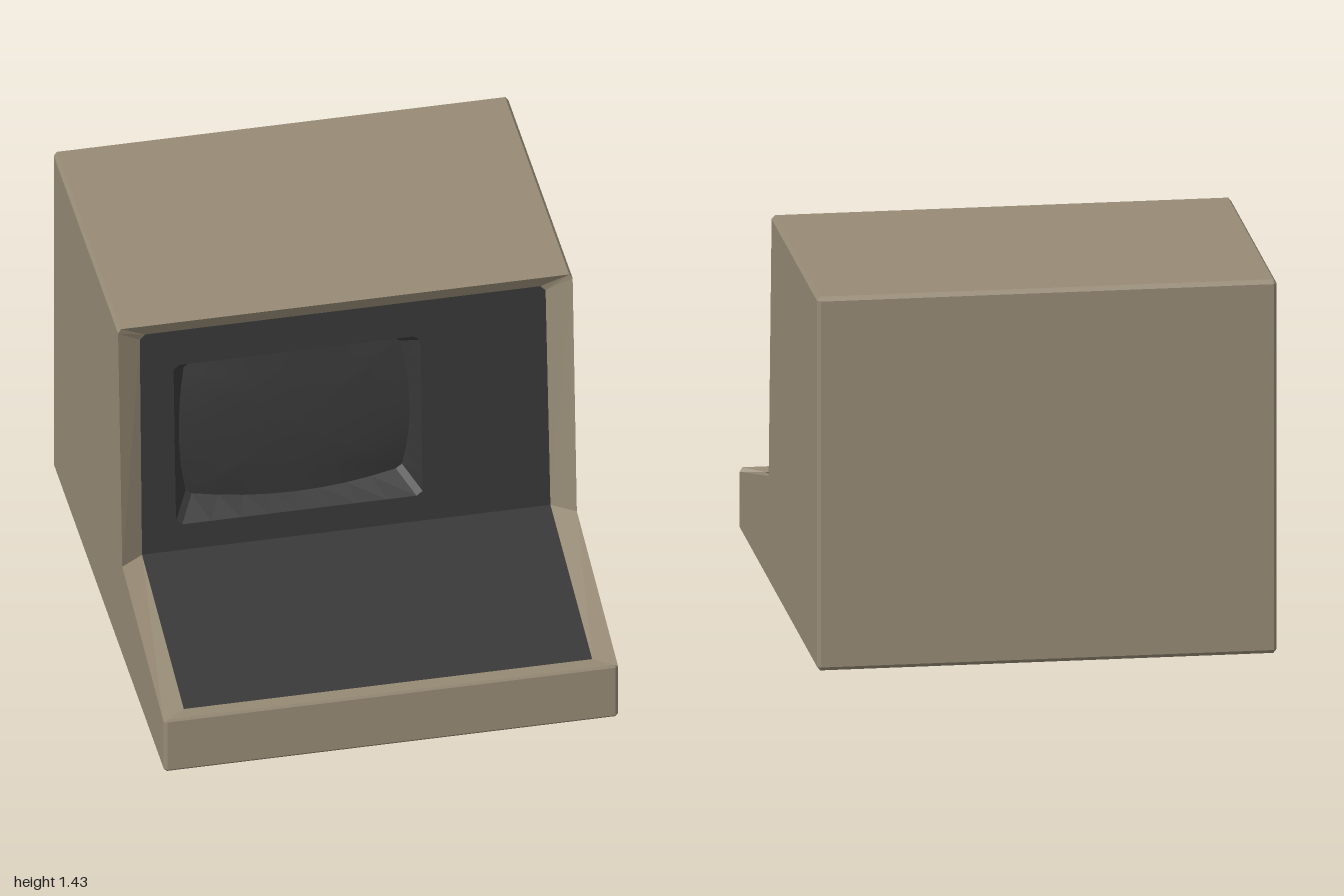
import * as THREE from 'three';
import { mergeVertices } from 'three/addons/utils/BufferGeometryUtils.js';

const beige = new THREE.MeshStandardMaterial({ color: 0x978b76, side: THREE.DoubleSide });
beige.name = 'beige casing';
const charcoal = new THREE.MeshStandardMaterial({ color: 0x373737, side: THREE.DoubleSide });
charcoal.name = 'charcoal panel';

// Skin successive cross-sections (equal-length lists of [x, y, z]) with triangles
function skin(sections, smooth = false) {
  const pos = [];
  for (let s = 0; s < sections.length - 1; s++) {
    const a = sections[s], b = sections[s + 1];
    for (let i = 0; i < a.length - 1; i++) {
      pos.push(...a[i], ...b[i], ...b[i + 1], ...a[i], ...b[i + 1], ...a[i + 1]);
    }
  }
  let g = new THREE.BufferGeometry();
  g.setAttribute('position', new THREE.Float32BufferAttribute(pos, 3));
  if (smooth) g = mergeVertices(g, 1e-4);
  g.computeVertexNormals();
  return g;
}

const at = (x, profile) => profile.map(([z, y]) => [x, y, z]);
const mirror = (pts) => pts.map(([x, y, z]) => [-x, y, z]);
const close = (pts) => [...pts, pts[0]];

export function createModel() {
  const group = new THREE.Group();
  const add = (name, geometry, material) => {
    const mesh = new THREE.Mesh(geometry, material);
    mesh.name = name;
    group.add(mesh);
  };

  // Side profiles as [z, y]: full outline, and the slightly inset outline of the cheeks
  const full = [[0.995, 0.24], [1, 0.23], [1, 0.015], [0.985, 0], [-0.985, 0],
    [-1, 0.015], [-1, 1.415], [-0.985, 1.43], [0.165, 1.43]];
  const inset = [[0.988, 0.225], [0.988, 0.225], [0.988, 0.015], [0.988, 0.015], [-0.985, 0.015],
    [-0.985, 0.015], [-0.985, 1.415], [-0.985, 1.415], [0.17, 1.415]];
  const crease = [0.245, 0.41];
  const W = 0.857, B = 0.845;

  // Casing: lip, base, back and top with bevelled edges
  add('casing', skin([at(W, inset), at(B, full), at(-B, full), at(-W, inset)]), beige);

  // Side cheeks, fanned from the inner crease of the profile
  const hub = inset.map(() => crease);
  add('leftCheek', skin([at(W, hub), at(W, inset)]), beige);
  add('rightCheek', skin([at(-W, inset), at(-W, hub)]), beige);

  // Sloping frame around the recessed panels
  const panelZ = (y) => 0.12 + (1.36 - y) * 0.0684;
  const outerHalf = [[B, 0.24, 0.995], [W, 0.225, 0.988], [W, 0.41, 0.245], [W, 1.415, 0.17], [B, 1.43, 0.165]];
  const innerHalf = [[0.77, 0.235, 0.935], [0.77, 0.235, 0.935], [0.77, 0.41, panelZ(0.41)],
    [0.765, 1.34, panelZ(1.34)], [0.745, 1.36, panelZ(1.36)]];
  const loop = (half) => close([...half, ...mirror(half).reverse()]);
  add('frontFrame', skin([loop(innerHalf), loop(outerHalf)]), beige);

  // Keyboard deck
  const deck = [innerHalf[2], innerHalf[0]];
  add('keyboardDeck', skin([deck, mirror(deck)]), charcoal);

  // Perimeter of a unit square, counterclockwise, with clipped corners
  const rim = [];
  for (let side = 0; side < 4; side++) {
    for (let i = 0; i <= 8; i++) {
      const t = -0.95 + (1.9 * i) / 8;
      rim.push([[1, t], [-t, 1], [-1, -t], [t, -1]][side]);
    }
  }
  const cx = -0.175, cy = 0.865;
  const opening = rim.map(([u, v]) => [cx + 0.465 * u, cy + 0.345 * v]);

  // Display panel with the screen opening
  const outline = [...innerHalf.slice(2), ...mirror(innerHalf.slice(2)).reverse()];
  const shape = new THREE.Shape(outline.map(([x, y]) => new THREE.Vector2(x, y)));
  shape.holes.push(new THREE.Path(opening.map(([x, y]) => new THREE.Vector2(x, y)).reverse()));
  const panel = new THREE.ShapeGeometry(shape);
  const p = panel.attributes.position;
  for (let i = 0; i < p.count; i++) p.setZ(i, panelZ(p.getY(i)));
  panel.computeVertexNormals();
  add('displayPanel', panel, charcoal);

  // Pillow-shaped screen, deepest at its corners
  const pillow = (k) => close(rim.map(([ru, rv]) => {
    const u = ru * k, v = rv * k;
    const y = cy + v * (0.28 + 0.03 * (1 - u * u));
    const depth = 0.05 + 0.02 * k * k + 0.03 * u * u * v * v;
    return [cx + u * (0.405 + 0.03 * (1 - v * v)), y, panelZ(y) - depth];
  }));
  const lip = close(opening.map(([x, y]) => [x, y, panelZ(y)]));
  add('screenBezel', skin([pillow(1), lip]), charcoal);
  add('screen', skin([0.001, 0.25, 0.5, 0.75, 1].map(pillow), true), charcoal);

  return group;
}
